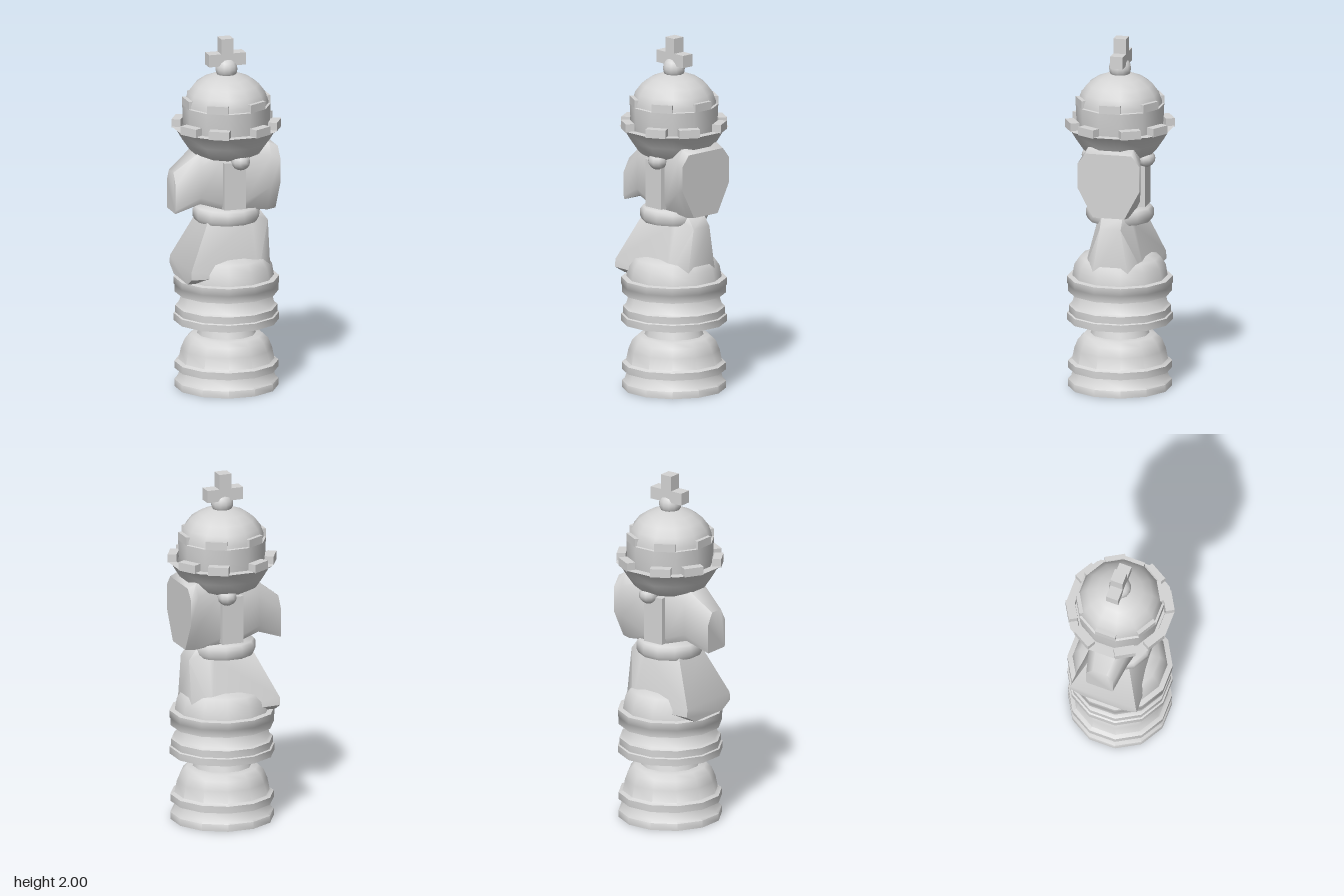
import * as THREE from 'three';
import { toCreasedNormals } from 'three/addons/utils/BufferGeometryUtils.js';
import { ConvexGeometry } from 'three/addons/geometries/ConvexGeometry.js';

const SIDES = 12;
const CX = 0.012; // axis of the turned pieces

export function createModel() {
  const model = new THREE.Group();
  model.name = 'stackedChessPieces';
  const stone = new THREE.MeshStandardMaterial({ color: 0xd4d4d4, side: THREE.DoubleSide });
  stone.name = 'pale grey';

  const add = (name, geometry, x = 0, y = 0, z = 0, parent = model) => {
    const mesh = new THREE.Mesh(toCreasedNormals(geometry, 1.0), stone);
    mesh.name = name;
    mesh.position.set(x, y, z);
    parent.add(mesh);
    return mesh;
  };

  // Twelve-sided turned part; profile is [radius to the flat, height], bottom to top
  const turned = (name, profile) => {
    const k = 1 / Math.cos(Math.PI / SIDES);
    const pts = profile.map(([r, y]) => new THREE.Vector2(r * k, y));
    return add(name, new THREE.LatheGeometry(pts, SIDES, Math.PI / SIDES), CX);
  };

  // Block of a battlement, facing outward at an angle, shifted along its side
  const merlon = (name, angle, shift, radius, y, [w, h, d]) => {
    const block = add(name, new THREE.BoxGeometry(w, h, d),
      CX + Math.sin(angle) * radius + Math.cos(angle) * shift, y,
      Math.cos(angle) * radius - Math.sin(angle) * shift);
    block.rotation.y = angle;
  };

  // Hollow bottom piece with its neck
  turned('lowerBase', [
    [0.28, 0], [0.28, 0.04], [0.265, 0.05], [0.25, 0.1], [0.28, 0.105], [0.28, 0.145],
    [0.258, 0.155], [0.245, 0.22], [0.225, 0.27], [0.195, 0.3], [0.155, 0.305],
  ]);
  turned('lowerNeck', [[0.16, 0.3], [0.135, 0.38], [0.105, 0.48], [0.1, 0.56], [0, 0.57]]);

  // Second piece, open underneath
  turned('middleBase', [
    [0.284, 0.38], [0.284, 0.42], [0.275, 0.425], [0.275, 0.465], [0.258, 0.475], [0.24, 0.54],
    [0.28, 0.545], [0.28, 0.585], [0.284, 0.59], [0.284, 0.63], [0.256, 0.635],
    [0.245, 0.7], [0.215, 0.745], [0.165, 0.765], [0, 0.77],
  ]);

  // Lower wedge-shaped horse head
  const wedge = [
    [-0.255, 0.632, 0.125], [-0.255, 0.675, 0.2], [-0.255, 0.72, 0.195], [-0.13, 0.93, 0.115],
    [-0.12, 1.0, 0.1], [0.13, 1.0, 0.09], [0.19, 1.01, 0.06], [0.235, 0.95, 0.06],
    [0.235, 0.64, 0.11], [0.14, 0.66, 0.18], [0.1, 0.95, 0.11],
  ].flatMap(([x, y, z]) => [new THREE.Vector3(x, y, z), new THREE.Vector3(x, y, -z)]);
  add('lowerHorseHead', new ConvexGeometry(wedge));

  // Collar between the heads
  turned('collar', [[0, 0.958], [0.172, 0.96], [0.182, 0.98], [0.182, 1.02], [0.17, 1.038], [0, 1.042]]);

  // Upper horse head: [x, bottom, low, high, top, bottom half width, half width, top half width]
  add('upperHorseHead', loftHead([
    [-0.31, 1.03, 1.05, 1.19, 1.26, 0.075, 0.08, 0.04],
    [-0.17, 1.08, 1.12, 1.3, 1.37, 0.09, 0.11, 0.07],
    [-0.05, 1.045, 1.08, 1.34, 1.38, 0.11, 0.13, 0.1],
    [0.075, 1.04, 1.08, 1.34, 1.38, 0.11, 0.13, 0.11],
    [0.22, 1.02, 1.17, 1.35, 1.415, 0.1, 0.17, 0.13],
    [0.27, 1.025, 1.19, 1.33, 1.39, 0.09, 0.178, 0.13],
  ]));

  // Cheek plates and eyes on both sides
  for (const side of [1, -1]) {
    add('cheekPlate', new THREE.BoxGeometry(0.125, 0.27, 0.05), 0.012, 1.185, side * 0.135);
    const eye = add('eye', new THREE.SphereGeometry(0.055, 10, 8), 0.045, 1.325, side * 0.155);
    eye.scale.y = 0.9;
  }

  // Tower cup; its rim is open on the four main sides and at the corners between
  turned('towerCup', [
    [0, 1.325], [0.15, 1.33], [0.195, 1.355], [0.235, 1.415], [0.27, 1.475],
    [0.293, 1.492], [0.245, 1.492], [0.24, 1.465], [0, 1.46],
  ]);
  for (let quarter = 0; quarter < 4; quarter++) {
    for (const side of [-1, 1]) {
      const angle = (quarter * Math.PI) / 2 + Math.PI / 4 + (side * Math.PI) / 12;
      merlon('outerMerlon', angle, side * 0.02, 0.27, 1.511, [0.115, 0.048, 0.05]);
    }
  }

  // Inner wall, domed top and finial
  turned('innerWall', [[0.225, 1.46], [0.234, 1.53], [0.238, 1.62], [0.215, 1.625]]);
  for (let i = 0; i < 6; i++) {
    merlon('innerMerlon', Math.PI / 6 + (i * Math.PI) / 3, 0, 0.226, 1.642, [0.12, 0.046, 0.026]);
  }
  turned('dome', [
    [0.228, 1.58], [0.225, 1.64], [0.208, 1.69], [0.175, 1.735], [0.125, 1.77], [0.065, 1.793], [0, 1.797],
  ]);
  add('finialBall', new THREE.SphereGeometry(0.063, 12, 10), CX, 1.825, 0);

  // Cross
  add('crossUpright', new THREE.BoxGeometry(0.072, 0.16, 0.072), CX - 0.003, 1.92, -0.006);
  add('crossArm', new THREE.BoxGeometry(0.214, 0.07, 0.072), CX - 0.003, 1.88, -0.006);

  return model;
}

// Joins chamfered, mirrored sections into a closed body
function loftHead(sections) {
  const pos = [], idx = [];
  const n = 8;
  for (const [x, bottom, low, high, top, wBottom, w, wTop] of sections) {
    const half = [[bottom, wBottom], [low, w], [high, w], [top, wTop]];
    const ring = [...half, ...half.map(([y, z]) => [y, -z]).reverse()];
    ring.forEach(([y, z]) => pos.push(x, y, z));
  }
  const last = (sections.length - 1) * n;
  for (let i = 0; i < last; i += n) {
    for (let j = 0; j < n; j++) {
      const k = (j + 1) % n;
      idx.push(i + j, i + n + j, i + n + k, i + j, i + n + k, i + k);
    }
  }
  for (let j = 1; j < n - 1; j++) {
    idx.push(0, j, j + 1, last, last + j + 1, last + j);
  }
  const g = new THREE.BufferGeometry();
  g.setAttribute('position', new THREE.Float32BufferAttribute(pos, 3));
  g.setIndex(idx);
  g.computeVertexNormals();
  return g;
}
